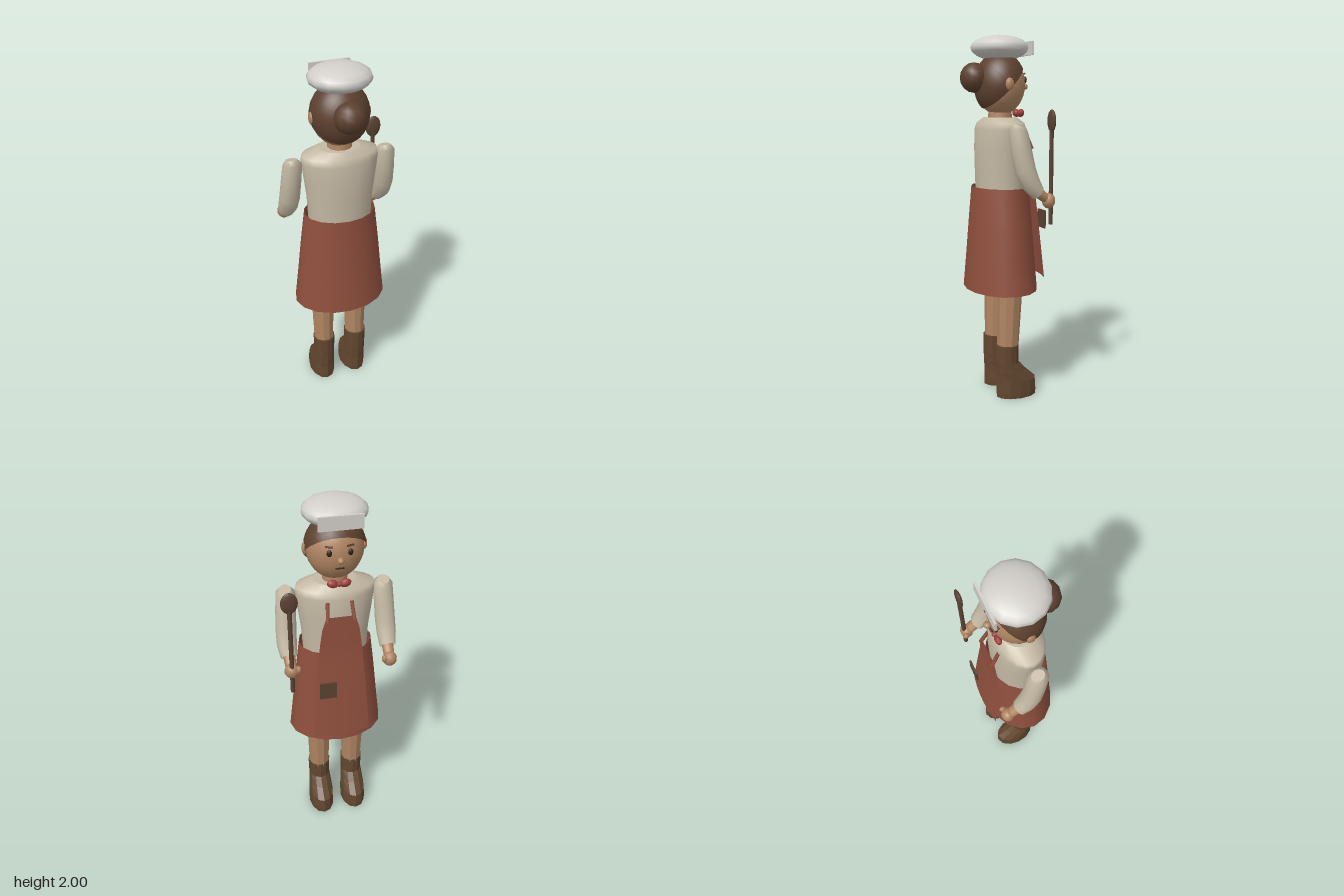
import * as THREE from 'three';

const mat = (color, extra = {}) => {
  const m = new THREE.MeshStandardMaterial({ color, side: THREE.DoubleSide });
  return Object.assign(m, extra);
};

// Skin over elliptical rings, listed top to bottom: [x, y, z, rx, rz, tilt]
function loft(rings, n, capTop = true, capBottom = true) {
  const pos = [], idx = [];
  const addRing = ([x, y, z, rx, rz, t = 0]) => {
    const start = pos.length / 3;
    for (let j = 0; j < n; j++) {
      const a = (j / n) * Math.PI * 2, s = Math.sin(a) * rz;
      pos.push(x + Math.cos(a) * rx, y - s * Math.sin(t), z + s * Math.cos(t));
    }
    return start;
  };
  const starts = rings.map(addRing);
  for (let i = 0; i < starts.length - 1; i++) {
    for (let j = 0; j < n; j++) {
      const k = (j + 1) % n, p = starts[i], q = starts[i + 1];
      idx.push(p + j, p + k, q + j, p + k, q + k, q + j);
    }
  }
  const cap = (ring, top) => {
    const s = addRing(ring), c = pos.length / 3;
    pos.push(ring[0], ring[1], ring[2]);
    for (let j = 0; j < n; j++) {
      const k = (j + 1) % n;
      idx.push(c, s + (top ? k : j), s + (top ? j : k));
    }
  };
  if (capTop) cap(rings[0], true);
  if (capBottom) cap(rings[rings.length - 1], false);
  const g = new THREE.BufferGeometry();
  g.setAttribute('position', new THREE.Float32BufferAttribute(pos, 3));
  g.setIndex(idx);
  g.computeVertexNormals();
  return g;
}

export function createModel() {
  const root = new THREE.Group();
  const skin = mat(0xb08562), hair = mat(0x5c402e), shirt = mat(0xc4b9a4);
  const red = mat(0x8f4f3d), bowRed = mat(0x9c3f3a), white = mat(0xd2cfca);
  const wood = mat(0x5a4233), dark = mat(0x2b211c);
  const legSkin = mat(0xb08562, { flatShading: true });
  const leather = mat(0x62472f, { flatShading: true });

  const add = (name, geo, material, x = 0, y = 0, z = 0, parent = root) => {
    const m = new THREE.Mesh(geo, material);
    m.name = name;
    m.position.set(x, y, z);
    parent.add(m);
    return m;
  };
  const ball = (name, material, x, y, z, rx, ry = rx, rz = rx, w = 12, h = 8) =>
    add(name, new THREE.SphereGeometry(1, w, h).scale(rx, ry, rz), material, x, y, z);
  const rod = (name, material, a, b, r, sides = 8) => {
    const p = new THREE.Vector3(...a), q = new THREE.Vector3(...b), d = q.clone().sub(p);
    const m = add(name, new THREE.CylinderGeometry(r, r, d.length(), sides), material);
    m.position.copy(p).add(q).multiplyScalar(0.5);
    m.quaternion.setFromUnitVectors(new THREE.Vector3(0, 1, 0), d.normalize());
    return m;
  };

  // Body and clothes
  add('shirt', loft([
    [0, 1.565, 0, 0.11, 0.09], [0, 1.535, 0, 0.205, 0.115], [0, 1.5, 0, 0.21, 0.128],
    [0, 1.4, 0, 0.197, 0.135], [0, 1.28, 0, 0.182, 0.134], [0, 1.08, 0, 0.172, 0.128],
  ], 20), shirt);
  add('skirt', loft([
    [0, 1.19, 0, 0.198, 0.153], [0, 1.0, 0, 0.222, 0.168],
    [0, 0.8, 0, 0.244, 0.183], [0, 0.62, 0, 0.265, 0.198],
  ], 16, false, false), red);
  add('neck', new THREE.CylinderGeometry(0.06, 0.07, 0.12, 12), skin, 0, 1.58, 0);

  // Apron: a sheet that widens and leans forward towards the hem
  const apron = new THREE.PlaneGeometry(2, 1, 8, 10);
  const p = apron.attributes.position;
  for (let i = 0; i < p.count; i++) {
    const u = p.getX(i), t = 0.5 - p.getY(i);
    const half = 0.075 + 0.08 * Math.pow(t, 0.55);
    const lean = t < 0.3 ? 0.02 * t : 0.006 + 0.084 * (t - 0.3);
    p.setXYZ(i, -u * half, 1.42 - 0.735 * t, -0.155 - lean + 0.017 * u * u * t);
  }
  apron.computeVertexNormals();
  add('apron', apron, red);
  add('pocket', new THREE.BoxGeometry(0.09, 0.1, 0.01), wood, 0.08, 1.005, -0.219);

  // Paired parts
  for (const s of [1, -1]) {
    const side = s > 0 ? 'left' : 'right';
    rod(side + 'Strap', red, [s * 0.07, 1.395, -0.162], [s * 0.062, 1.49, -0.122], 0.01, 6);
    add(side + 'Sleeve', loft([
      [s * 0.258, 1.525, -0.005, 0.03, 0.036, -0.25], [s * 0.256, 1.5, 0, 0.052, 0.052, -0.2],
      [s * 0.262, 1.4, -0.015, 0.054, 0.055, 0.1], [s * 0.267, 1.3, -0.035, 0.055, 0.056, 0.3],
      [s * 0.27, 1.23, -0.065, 0.053, 0.052, 0.65], [s * 0.268, 1.175, -0.108, 0.044, 0.04, 0.85],
    ], 12, true, false), shirt);
    add(side + 'Wrist', loft([
      [s * 0.267, 1.19, -0.095, 0.033, 0.03, 0.85], [s * 0.265, 1.14, -0.16, 0.029, 0.025, 0.85],
    ], 10), skin);
    ball(side + 'Hand', skin, s * 0.265, 1.132, -0.172, 0.039, 0.042, 0.036, 10, 7);
    ball(side + 'Thumb', skin, s * 0.23, 1.145, -0.187, 0.014, 0.022, 0.018, 8, 6);
    add(side + 'Leg', loft([
      [s * 0.1, 0.8, -0.02, 0.072, 0.075], [s * 0.1, 0.6, -0.018, 0.068, 0.07],
      [s * 0.1, 0.28, -0.008, 0.058, 0.06],
    ], 10), legSkin);
    add(side + 'Boot', loft([
      [s * 0.1, 0.305, -0.004, 0.065, 0.066], [s * 0.1, 0.2, -0.004, 0.062, 0.066],
      [s * 0.1, 0.15, -0.027, 0.067, 0.088], [s * 0.1, 0.095, -0.058, 0.072, 0.117],
      [s * 0.1, 0.03, -0.06, 0.074, 0.12], [s * 0.1, 0, -0.06, 0.073, 0.118],
    ], 12), leather);
    ball(side + 'Ear', skin, s * 0.15, 1.74, 0.005, 0.016, 0.034, 0.025, 10, 6);
    ball(side + 'Eye', dark, s * 0.052, 1.765, -0.124, 0.014, 0.018, 0.01, 10, 6);
    rod(side + 'Brow', hair, [s * 0.035, 1.798, -0.126], [s * 0.07, 1.797, -0.114], 0.005, 6);
    const loop = ball(side + 'BowLoop', bowRed, s * 0.032, 1.588, -0.108, 0.031, 0.022, 0.018, 10, 6);
    loop.rotation.z = s * 0.25;
  }

  // Head and face
  ball('head', skin, 0, 1.74, 0, 0.148, 0.165, 0.135, 20, 14);
  ball('nose', skin, 0, 1.73, -0.143, 0.018, 0.018, 0.02, 10, 6);
  rod('mouth', dark, [-0.022, 1.682, -0.127], [0.022, 1.682, -0.127], 0.004, 6);
  ball('bowKnot', bowRed, 0, 1.586, -0.112, 0.014, 0.014, 0.014, 8, 6);

  // Hair: a tilted cap sloping from the forehead to the nape
  const cap = new THREE.SphereGeometry(1, 24, 12, 0, Math.PI * 2, 0, 1.68);
  cap.rotateX(0.72).scale(0.157, 0.172, 0.142);
  add('hair', cap, hair, 0, 1.74, 0);
  ball('hairBun', hair, 0, 1.775, 0.148, 0.083, 0.08, 0.077, 12, 8);

  // Hat with a blank plate on the face side
  ball('hat', white, 0, 1.933, 0.003, 0.166, 0.067, 0.157, 14, 10);
  add('hatPlate', new THREE.BoxGeometry(0.22, 0.072, 0.012), white, 0, 1.93, -0.145);

  // Wooden spoon
  rod('spoonHandle', wood, [0.265, 1.005, -0.185], [0.265, 1.53, -0.185], 0.012);
  ball('spoonBowl', wood, 0.265, 1.55, -0.185, 0.044, 0.06, 0.014, 12, 8);

  return root;
}
